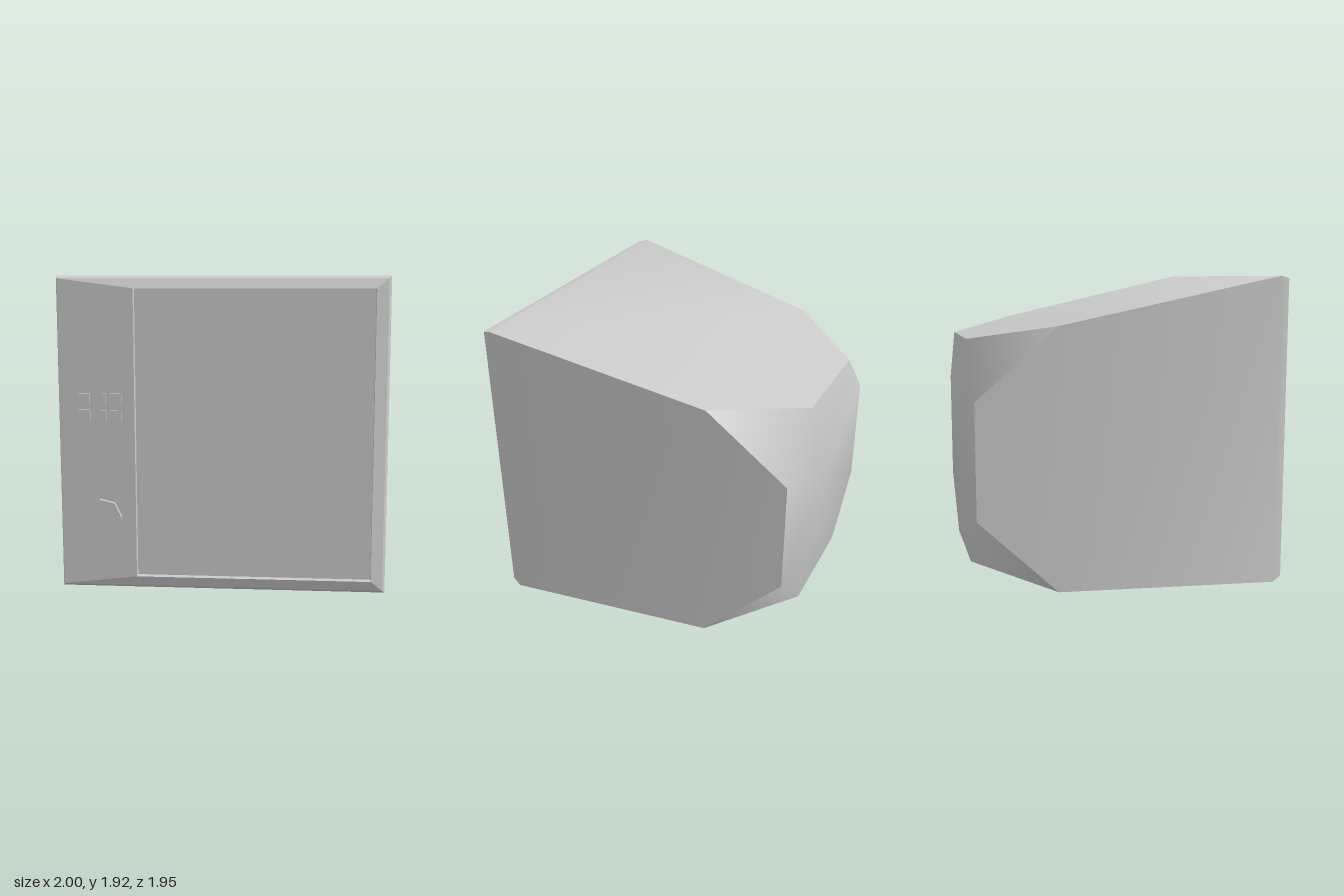
import * as THREE from 'three';
import { toCreasedNormals } from 'three/addons/utils/BufferGeometryUtils.js';

const material = new THREE.MeshStandardMaterial({ color: 0xcccccc });

// Rectangle of corners seen from the front: bottom right, top right, top left, bottom left
const ring = (left, right, bottom, top, z) => [
  [right, bottom, z], [right, top, z], [left, top, z], [left, bottom, z],
];

// Polygons (counter-clockwise) to a mesh, smooth below the crease angle
function polyMesh(name, polygons, creaseDegrees) {
  const positions = [];
  for (const p of polygons) {
    for (let i = 1; i < p.length - 1; i++) positions.push(...p[0], ...p[i], ...p[i + 1]);
  }
  const geometry = new THREE.BufferGeometry();
  geometry.setAttribute('position', new THREE.Float32BufferAttribute(positions, 3));
  const mesh = new THREE.Mesh(toCreasedNormals(geometry, THREE.MathUtils.degToRad(creaseDegrees)), material);
  mesh.name = name;
  return mesh;
}

// Four quads joining an inner or nearer ring to an outer or farther one
const band = (near, far) => near.map((p, i) => {
  const j = (i + 1) % 4;
  return [p, far[i], far[j], near[j]];
});

export function createModel() {
  const model = new THREE.Group();
  model.name = 'television';

  const rim = ring(-0.98, 0.98, 0.03, 1.91, 0.925);
  const widest = ring(-1, 1, 0, 1.925, 0.865);
  const shoulder = ring(-0.845, 0.845, 0, 1.63, -0.49);
  const opening = ring(-0.518, 0.908, 0.095, 1.85, 0.955);
  const glass = ring(-0.518, 0.908, 0.095, 1.85, 0.91);

  // Tapered cabinet whose sides narrow between the cut-off rear corners
  const backZ = -0.975;
  const back = [
    [0.375, 0.09], [0.75, 0.45], [0.75, 1.18], [0.375, 1.535],
    [-0.375, 1.535], [-0.75, 1.18], [-0.75, 0.45], [-0.375, 0.09],
  ].map(([x, y]) => [x, y, backZ]);
  const sides = [...band(rim, widest), ...band(widest, shoulder)];
  const rear = back.map((p, i) => [[0, 0.81, backZ], back[(i + 1) % 8], p]);
  for (let i = 0; i < 4; i++) {
    const j = (i + 1) % 4;
    sides.push([shoulder[i], back[2 * i + 1], back[2 * j], shoulder[j]]);
    rear.push([shoulder[i], back[2 * i], back[2 * i + 1]]);
  }
  model.add(polyMesh('cabinet', sides, 35));

  // Eight-sided back that blends into the corner cuts
  model.add(polyMesh('cabinetBack', rear, 60));

  // Sloping front frame, wide on the control side, and the recessed screen
  model.add(polyMesh('frontFrame', [...band(opening, rim), ...band(glass, opening)], 5));
  model.add(polyMesh('screen', [glass], 5));

  // Controls stand straight out, their faces sheared parallel to the slanted panel
  const panelSlope = new THREE.Matrix4().makeShear(0, 0.065, 0, 0, 0, 0);
  const controls = new THREE.Group();
  controls.name = 'controls';
  controls.position.set(-0.71, 0, 0.942);
  const addControl = (name, geometry, x, y) => {
    const mesh = new THREE.Mesh(geometry.translate(x, y, 0).applyMatrix4(panelSlope), material);
    mesh.name = name;
    controls.add(mesh);
  };
  for (const y of [1.09, 1.19]) {
    for (const x of [-0.115, -0.016, 0.08]) {
      addControl('button', new THREE.BoxGeometry(0.07, 0.07, 0.03), x, y);
    }
  }

  // Seven-sided knob with one corner pointing to the screen
  const knob = new THREE.CylinderGeometry(0.11, 0.11, 0.05, 7).rotateY(Math.PI / 2).rotateX(Math.PI / 2);
  addControl('knob', toCreasedNormals(knob, 0.5), -0.005, 0.47);
  model.add(controls);

  return model;
}
